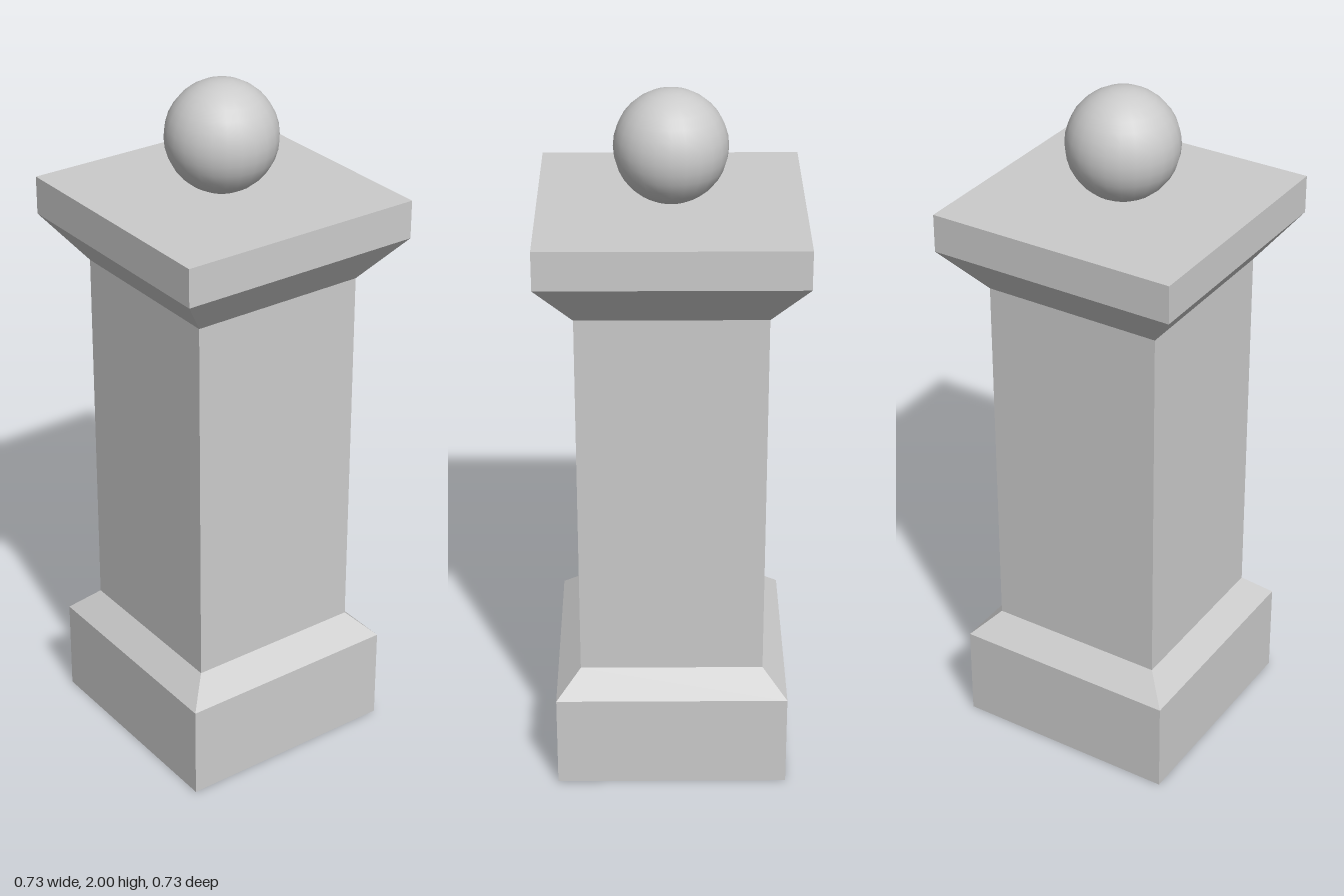
import * as THREE from 'three';

const flat = new THREE.MeshStandardMaterial({ color: 0xcccccc, flatShading: true });
const smooth = new THREE.MeshStandardMaterial({ color: 0xcccccc });

// Square solid from a bottom-to-top profile of [half width, height] pairs
function squareTier(name, profile) {
  const points = profile.map(([half, y]) => new THREE.Vector2(half * Math.SQRT2, y));
  const mesh = new THREE.Mesh(new THREE.LatheGeometry(points, 4, Math.PI / 4), flat);
  mesh.name = name;
  return mesh;
}

export function createModel() {
  const model = new THREE.Group();
  model.name = 'pillar';

  // Plinth with a sloped shoulder, straight shaft, flared capital with a flat slab
  model.add(
    squareTier('base', [[0, 0], [0.332, 0], [0.332, 0.28], [0.262, 0.35]]),
    squareTier('shaft', [[0.262, 0.35], [0.262, 1.45]]),
    squareTier('capital', [[0.262, 1.45], [0.364, 1.58], [0.364, 1.69], [0, 1.69]])
  );

  // Ball finial resting on the slab
  const ball = new THREE.Mesh(new THREE.SphereGeometry(0.156, 24, 16), smooth);
  ball.position.y = 1.844;
  ball.name = 'ballFinial';
  model.add(ball);

  return model;
}
